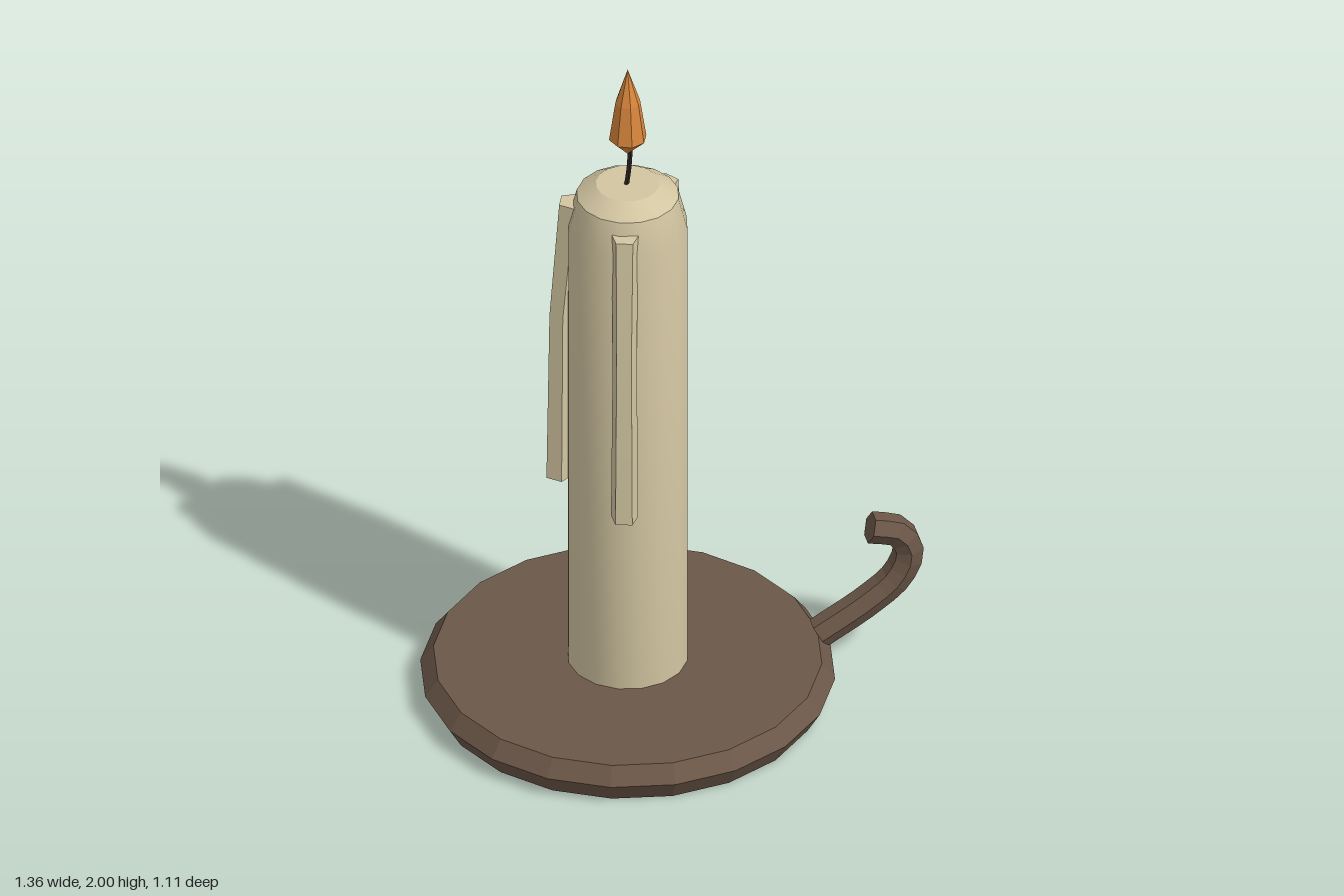
import * as THREE from 'three';
import { toCreasedNormals } from 'three/addons/utils/BufferGeometryUtils.js';

const AXIS_X = -0.127;

function material(name, color, flat) {
  const m = new THREE.MeshStandardMaterial({ color, flatShading: flat });
  m.name = name;
  return m;
}

function lathe(points, sides) {
  return new THREE.LatheGeometry(points.map(([r, y]) => new THREE.Vector2(r, y)), sides);
}

// Five-sided wax run: tucked into the candle at the top, hanging straight below the bend
function dripGeometry() {
  const g = new THREE.CylinderGeometry(0.038, 0.038, 2, 5, 2, false, -Math.PI / 2);
  const p = g.attributes.position;
  for (let i = 0; i < p.count; i++) {
    const level = Math.round(p.getY(i)) + 1;
    const slim = [1, 0.88, 1][level];
    p.setXYZ(i, p.getX(i) * slim + [0.184, 0.18, 0.15][level],
      [0.675, 1.2, 1.56][level], p.getZ(i) * slim);
  }
  return toCreasedNormals(g, 0.5);
}

export function createModel() {
  const group = new THREE.Group();
  const wax = material('cream wax', 0xd2c5a1, false);
  const metal = material('brown metal', 0x6b5748, true);
  const fire = material('orange flame', 0xd9863c, true);
  const char = material('charred wick', 0x2b2420, true);

  function add(name, geometry, mat, x = 0, parent = group) {
    const mesh = new THREE.Mesh(geometry, mat);
    mesh.name = name;
    mesh.position.x = x;
    parent.add(mesh);
    return mesh;
  }

  // Dish with a bevelled rim
  add('dish', lathe([[0, 0], [0.518, 0], [0.553, 0.06], [0.518, 0.107], [0, 0.107]], 20), metal, AXIS_X);

  // Candle with a softened shoulder
  const body = lathe([[0.161, 0.1], [0.161, 1.5], [0.137, 1.597], [0.085, 1.632], [0, 1.632]], 16);
  add('candle', toCreasedNormals(body, 0.5), wax, AXIS_X);

  // Wax drips around the candle
  const drip = dripGeometry();
  [106, 201, 324].forEach((deg) => {
    add('drip', drip, wax, AXIS_X).rotation.y = -THREE.MathUtils.degToRad(deg);
  });

  // Slightly bent wick
  const wickPath = new THREE.CatmullRomCurve3([
    new THREE.Vector3(-0.005, 1.62, 0), new THREE.Vector3(0.003, 1.68, 0), new THREE.Vector3(0.007, 1.75, 0),
  ]);
  add('wick', new THREE.TubeGeometry(wickPath, 4, 0.007, 5), char, AXIS_X);

  // Faceted flame
  add('flame', lathe([[0, 1.728], [0.051, 1.78], [0.034, 1.895], [0, 2]], 8), fire, AXIS_X);

  // Curled six-sided handle with closed ends
  const handle = new THREE.Group();
  handle.name = 'handle';
  group.add(handle);
  const path = new THREE.CatmullRomCurve3([
    [0.395, 0.095], [0.53, 0.18], [0.61, 0.25], [0.64, 0.33], [0.61, 0.39], [0.535, 0.413],
  ].map(([x, y]) => new THREE.Vector3(x, y, 0)));
  add('handleBar', new THREE.TubeGeometry(path, 14, 0.043, 6), metal, 0, handle);
  [[0, -1], [1, 1]].forEach(([t, sign]) => {
    const cap = add('handleEnd', new THREE.CircleGeometry(0.043, 6), metal, 0, handle);
    const end = path.getPointAt(t);
    cap.position.copy(end);
    cap.lookAt(end.clone().addScaledVector(path.getTangentAt(t), sign));
  });

  return group;
}
